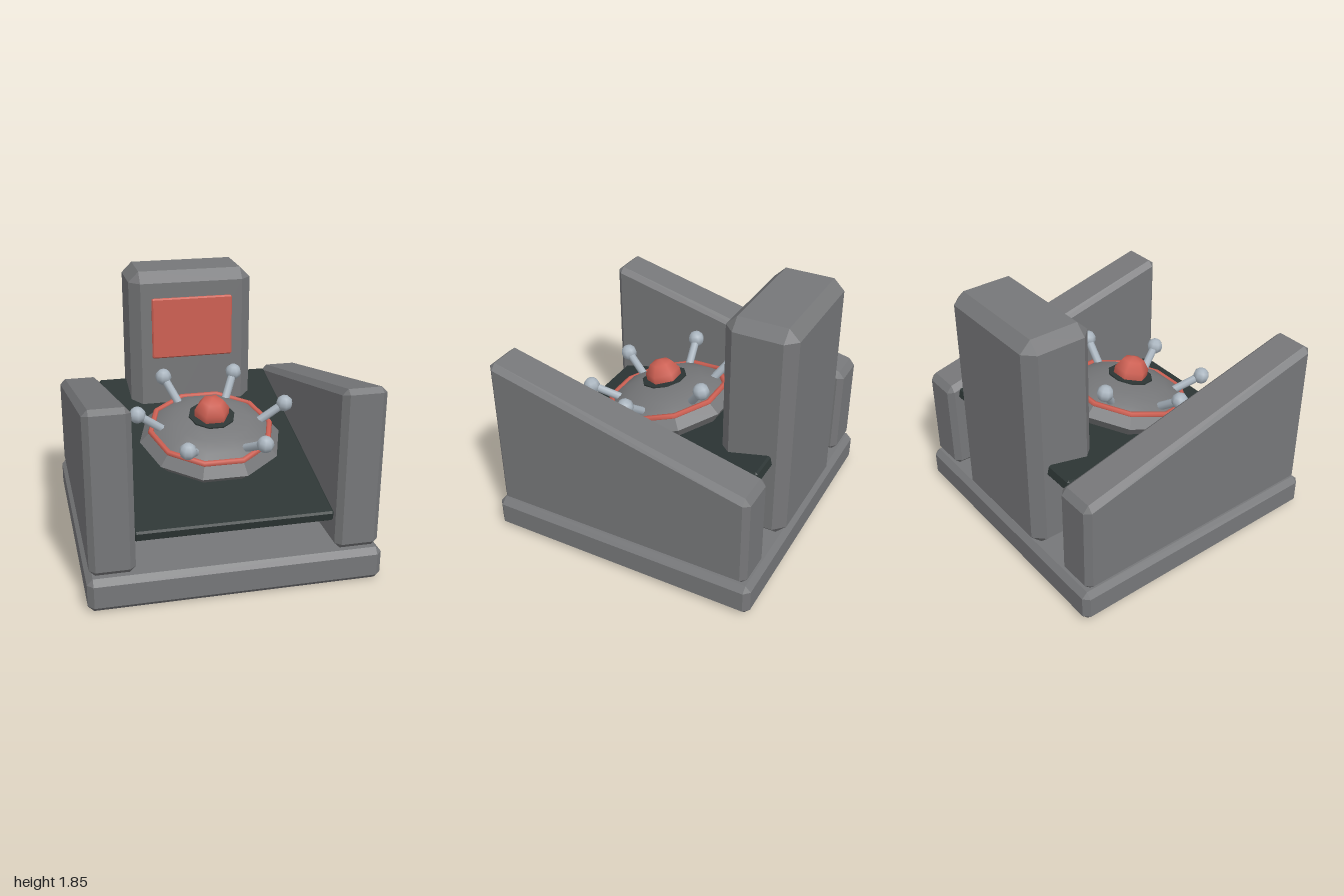
import * as THREE from 'three';
import { ConvexGeometry } from 'three/addons/geometries/ConvexGeometry.js';

const material = (name, color) => {
  const m = new THREE.MeshStandardMaterial({ color });
  m.name = name;
  return m;
};

// Box with 45 degree chamfers on every edge; shear slopes its top along z
function chamferBox(w, h, d, c, shear = 0) {
  const points = [];
  for (const sx of [-1, 1]) for (const sy of [-1, 1]) for (const sz of [-1, 1]) {
    for (let axis = 0; axis < 3; axis++) {
      const inset = [c, c, c];
      inset[axis] = 0;
      const x = sx * (w / 2 - inset[0]);
      const y = sy * (h / 2 - inset[1]);
      const z = sz * (d / 2 - inset[2]);
      points.push(new THREE.Vector3(x, sy > 0 ? y + shear * z : y, z));
    }
  }
  return new ConvexGeometry(points);
}

// Ten-sided turned form with a corner on each side of x
function turned(profile) {
  const points = profile.map(([r, y]) => new THREE.Vector2(r, y));
  return new THREE.LatheGeometry(points, 10, Math.PI / 2);
}

function faceted(geometry) {
  const g = geometry.toNonIndexed();
  g.computeVertexNormals();
  return g;
}

export function createModel() {
  const grey = material('stone grey', 0x767779);
  const dark = material('dark slate', 0x2d3635);
  const red = material('signal red', 0xcd6053);
  const steel = material('pale steel', 0xa9b4be);

  const model = new THREE.Group();
  model.name = 'console';
  const add = (parent, name, geometry, mat, x = 0, y = 0, z = 0) => {
    const mesh = new THREE.Mesh(geometry, mat);
    mesh.name = name;
    mesh.position.set(x, y, z);
    parent.add(mesh);
    return mesh;
  };

  // Plinth, rear tower and its panel
  add(model, 'base', chamferBox(2, 0.235, 2, 0.04), grey, 0, 0.1175, 0);
  add(model, 'tower', chamferBox(0.925, 1.615, 0.5, 0.077), grey, 0, 1.0425, -0.75);
  add(model, 'towerPanel', chamferBox(0.61, 0.46, 0.04, 0.01), red, 0, 1.43, -0.5);

  // Side walls, higher at the front
  for (const side of [-1, 1]) {
    const name = side > 0 ? 'leftWall' : 'rightWall';
    add(model, name, chamferBox(0.305, 0.92, 1.925, 0.04, 0.24), grey, side * 0.8275, 0.698, 0);
  }

  // Sloping deck
  const deck = new THREE.Group();
  deck.name = 'deck';
  deck.position.y = 0.675;
  deck.rotation.x = 0.237;
  model.add(deck);
  add(deck, 'deckSlab', chamferBox(1.35, 0.08, 1.83, 0.013), dark);

  // Domed saucer standing square to the deck
  const saucer = new THREE.Group();
  saucer.name = 'saucer';
  saucer.position.set(0, 0.04, 0.088);
  deck.add(saucer);
  const hull = turned([[0.3, -0.02], [0.44, 0.025], [0.51, 0.1], [0.44, 0.177]]);
  add(saucer, 'saucerHull', faceted(hull), grey);
  const dome = turned([[0.435, 0.165], [0.37, 0.215], [0.28, 0.252], [0.165, 0.28], [0, 0.284]]);
  add(saucer, 'saucerDome', dome, grey);
  const ring = new THREE.TorusGeometry(0.432, 0.022, 6, 10).rotateX(-Math.PI / 2);
  add(saucer, 'saucerRing', ring, red, 0, 0.177, 0);
  const collar = new THREE.CylinderGeometry(0.165, 0.165, 0.03, 10, 1, false, Math.PI / 2);
  add(saucer, 'collar', collar, dark, 0, 0.275, 0);
  add(saucer, 'knob', new THREE.SphereGeometry(0.132, 6, 5), red, 0, 0.3, 0);

  // Six rods tipped with balls
  const rodStart = new THREE.Vector3(0.35, 0.2, 0);
  const rodEnd = new THREE.Vector3(0.53, 0.337, 0);
  const span = rodEnd.clone().sub(rodStart);
  for (let i = 0; i < 6; i++) {
    const arm = new THREE.Group();
    arm.name = 'arm' + (i + 1);
    arm.rotation.y = i * Math.PI / 3;
    saucer.add(arm);
    const rod = add(arm, 'rod', new THREE.CylinderGeometry(0.03, 0.03, span.length(), 8), steel);
    rod.position.copy(rodStart).addScaledVector(span, 0.5);
    rod.quaternion.setFromUnitVectors(new THREE.Vector3(0, 1, 0), span.clone().normalize());
    add(arm, 'ball', new THREE.SphereGeometry(0.06, 8, 6), steel, rodEnd.x, rodEnd.y, 0);
  }

  return model;
}
